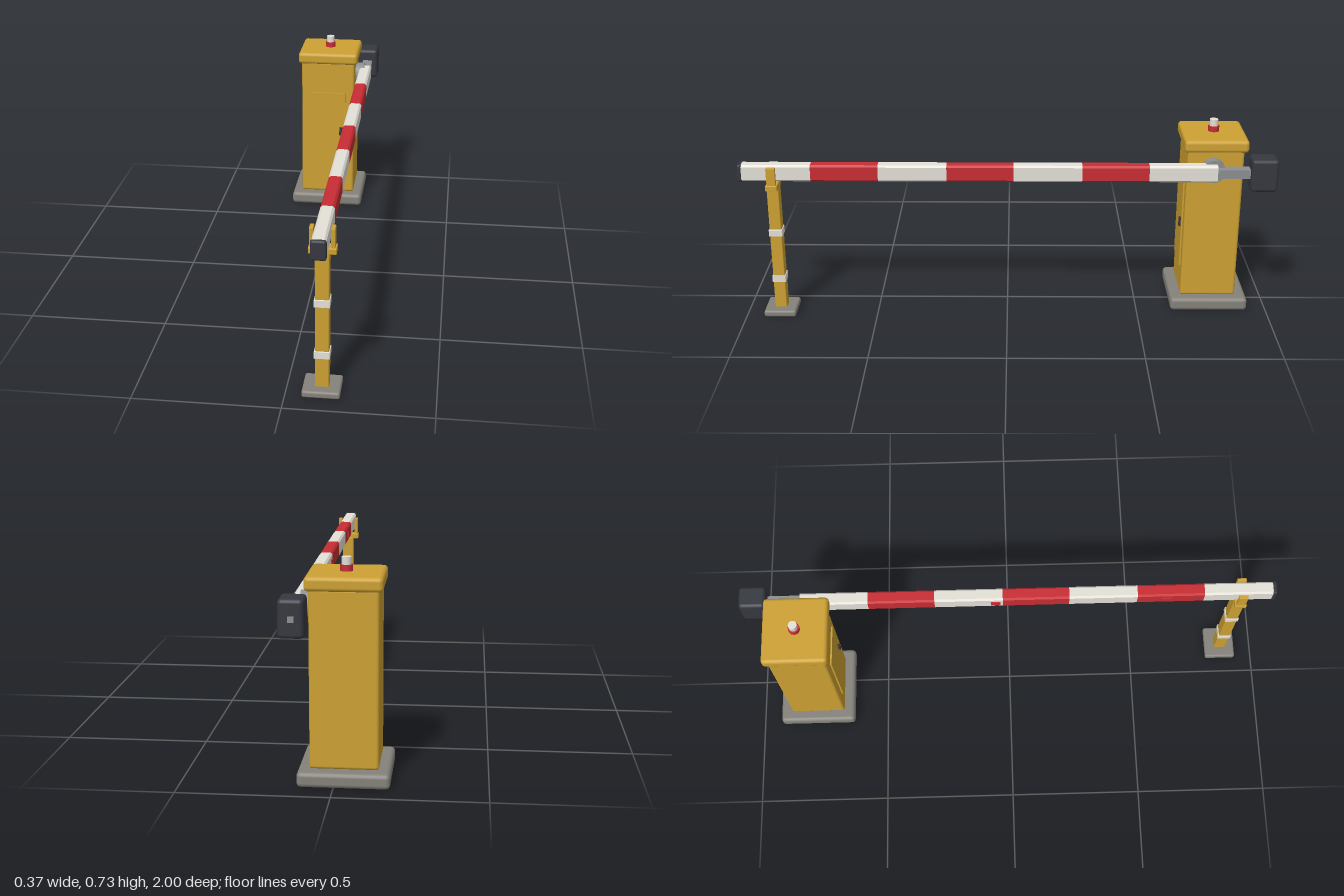
import * as THREE from 'three';
import { RoundedBoxGeometry } from 'three/addons/geometries/RoundedBoxGeometry.js';

const mat = (name, color) => {
  const m = new THREE.MeshStandardMaterial({ color });
  m.name = name;
  return m;
};

export function createModel() {
  const yellow = mat('yellow paint', 0xcda132);
  const red = mat('red paint', 0xc82d33);
  const white = mat('white paint', 0xe4e1d8);
  const stone = mat('base grey', 0x85827b);
  const steel = mat('steel', 0x8c8e90);
  const dark = mat('dark rubber', 0x363840);

  const model = new THREE.Group();
  model.name = 'barrierGate';

  const group = (name) => {
    const g = new THREE.Group();
    g.name = name;
    model.add(g);
    return g;
  };
  const add = (parent, name, geometry, material, x = 0, y = 0, z = 0) => {
    const mesh = new THREE.Mesh(geometry, material);
    mesh.name = name;
    mesh.position.set(x, y, z);
    parent.add(mesh);
    return mesh;
  };
  // Box given by its limits on each axis, with softened edges if r > 0
  const box = (parent, name, material, [x0, x1], [y0, y1], [z0, z1], r = 0) => {
    const w = x1 - x0, h = y1 - y0, d = z1 - z0;
    const geometry = r ? new RoundedBoxGeometry(w, h, d, 2, r) : new THREE.BoxGeometry(w, h, d);
    return add(parent, name, geometry, material, (x0 + x1) / 2, (y0 + y1) / 2, (z0 + z1) / 2);
  };

  // Cabinet on its base, with cap, door and handle
  const cabinet = group('cabinet');
  box(cabinet, 'cabinetBase', stone, [-0.184, 0.119], [0, 0.051], [-0.927, -0.631], 0.015);
  box(cabinet, 'cabinetBody', yellow, [-0.145, 0.081], [0.05, 0.645], [-0.882, -0.671], 0.01);
  box(cabinet, 'cabinetCap', yellow, [-0.158, 0.094], [0.638, 0.686], [-0.897, -0.658], 0.014);
  box(cabinet, 'door', yellow, [-0.108, 0.043], [0.16, 0.51], [-0.675, -0.665]);
  box(cabinet, 'doorHandle', dark, [0.019, 0.032], [0.319, 0.357], [-0.666, -0.657], 0.003);

  // Warning lamp on the cap
  const lamp = group('warningLamp');
  add(lamp, 'lampBase', new THREE.CylinderGeometry(0.021, 0.021, 0.022, 12), red, -0.032, 0.696, -0.778);
  add(lamp, 'lampLens', new THREE.CylinderGeometry(0.016, 0.016, 0.026, 12), white, -0.032, 0.719, -0.778);

  // Pivot hub between cabinet and boom
  const hub = add(group('pivot'), 'pivotHub', new THREE.CylinderGeometry(0.044, 0.044, 0.04, 20), steel, 0.097, 0.574, -0.766);
  hub.rotation.z = Math.PI / 2;

  // Striped boom: one chamfered section extruded along z for each stripe
  const boom = group('boom');
  const boomX = 0.12, boomY = 0.573;
  const section = (w, h, c) => new THREE.Shape([
    [-w + c, -h], [w - c, -h], [w, -h + c], [w, h - c],
    [w - c, h], [-w + c, h], [-w, h - c], [-w, -h + c],
  ].map(([x, y]) => new THREE.Vector2(x, y)));
  const stripes = [-0.777, -0.525, -0.277, -0.023, 0.225, 0.479, 0.729, 0.985];
  for (let i = 0; i < stripes.length - 1; i++) {
    const geometry = new THREE.ExtrudeGeometry(section(0.024, 0.032, 0.007), {
      depth: stripes[i + 1] - stripes[i], bevelEnabled: false,
    });
    add(boom, i % 2 ? 'redStripe' : 'whiteStripe', geometry, i % 2 ? red : white, boomX, boomY, stripes[i]);
  }
  box(boom, 'boomEndCap', dark, [0.094, 0.146], [0.538, 0.607], [0.982, 1], 0.008);
  for (const z of [-0.05, 0.585]) {
    box(boom, 'reflector', red, [0.092, 0.098], [0.562, 0.584], [z - 0.018, z + 0.018]);
  }

  // Counterweight on its shaft
  const weight = group('counterweight');
  box(weight, 'weightShaft', steel, [0.1, 0.14], [0.556, 0.59], [-0.905, -0.77]);
  box(weight, 'weightBlock', dark, [0.079, 0.163], [0.51, 0.636], [-0.998, -0.898], 0.014);
  box(weight, 'shaftEnd', steel, [0.11, 0.13], [0.563, 0.583], [-1, -0.992]);

  // Rest post with foot, bands and forked cradle
  const post = group('restPost');
  box(post, 'postFoot', stone, [0.056, 0.184], [0, 0.025], [0.811, 0.932], 0.008);
  box(post, 'postColumn', yellow, [0.097, 0.144], [0.02, 0.515], [0.85, 0.895], 0.004);
  for (const y of [0.144, 0.334]) {
    box(post, 'postBand', white, [0.094, 0.147], [y - 0.014, y + 0.014], [0.847, 0.898], 0.002);
  }
  box(post, 'cradlePlate', yellow, [0.075, 0.167], [0.51, 0.532], [0.851, 0.895], 0.003);
  for (const side of [-1, 1]) {
    const x = boomX + side * 0.035;
    box(post, 'cradleProng', yellow, [x - 0.007, x + 0.007], [0.525, 0.599], [0.856, 0.89], 0.002);
  }

  return model;
}
